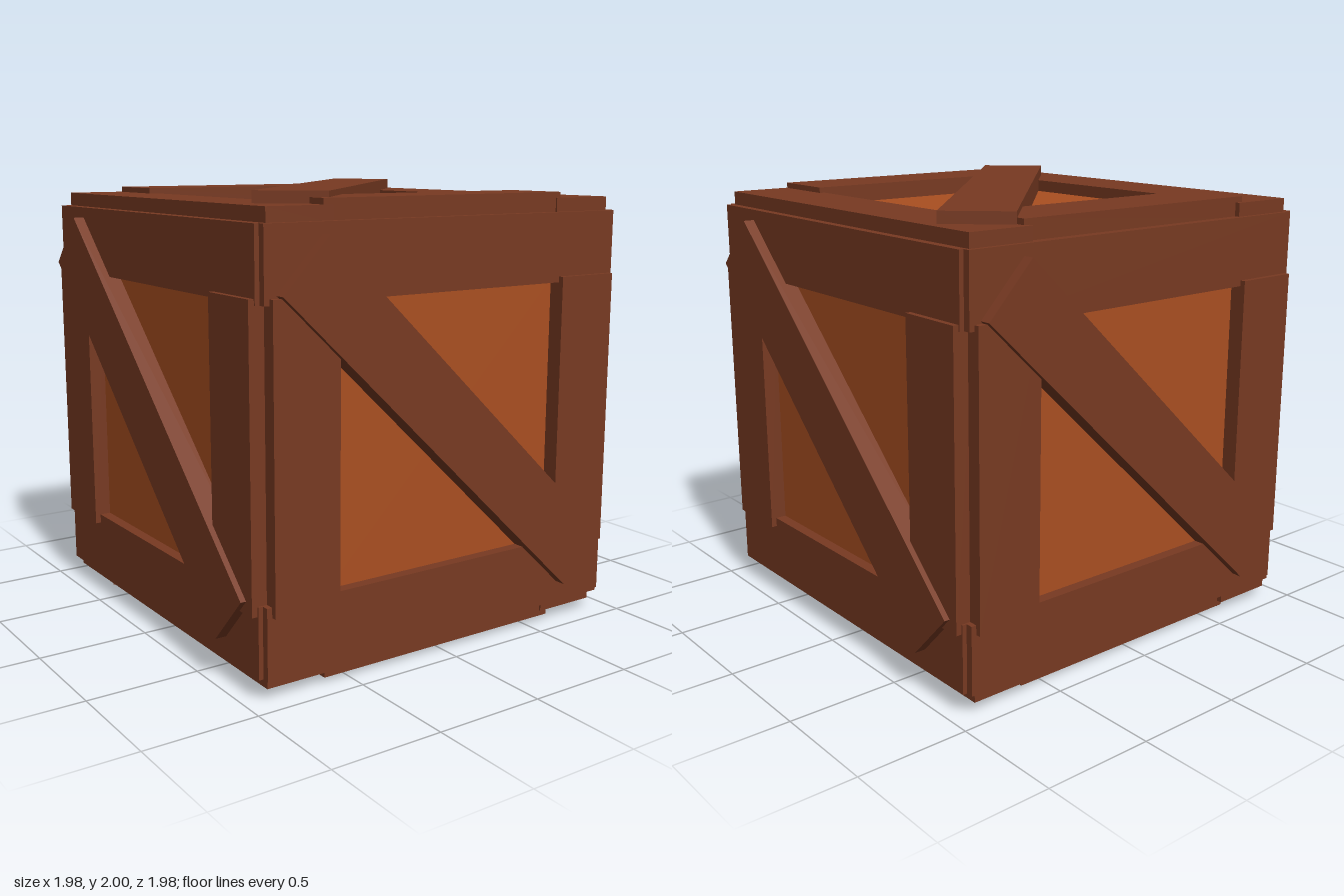
import * as THREE from 'three';

const plankMat = new THREE.MeshStandardMaterial({ color: 0x783a22 });
plankMat.name = 'dark wood';
const panelMat = new THREE.MeshStandardMaterial({ color: 0xaa4f21 });
panelMat.name = 'orange wood';

const INNER = 0.87; // depth where planks start, just inside the panel

// plank lying on a face: centre (u, v), size, height of its outer surface
function plank(name, u, v, w, h, out, angle = 0) {
  const mesh = new THREE.Mesh(new THREE.BoxGeometry(w, h, out - INNER), plankMat);
  mesh.name = name;
  mesh.position.set(u, v, (out + INNER) / 2);
  mesh.rotation.z = angle;
  return mesh;
}

// frame of one face, facing +z: rails, stiles on top of them, then the brace
function faceFrame(name) {
  const face = new THREE.Group();
  face.name = name;
  for (const s of [1, -1]) {
    face.add(plank('rail', -0.006, s * 0.744, 1.827, 0.305, 0.94));
    face.add(plank('stile', 0.002 + s * 0.745, -0.008, 0.307, 1.25, 0.965));
  }
  face.add(plank('diagonalBrace', -0.005, 0.025, 2.08, 0.305, 0.99, -0.756));
  return face;
}

export function createModel() {
  const crate = new THREE.Group();
  crate.name = 'crate';

  // inner box, seen as the panels
  const body = new THREE.Mesh(new THREE.BoxGeometry(1.78, 1.79, 1.78), panelMat);
  body.name = 'panels';
  body.position.y = 1;
  crate.add(body);

  // four side frames
  ['front', 'right', 'back', 'left'].forEach((side, i) => {
    const face = faceFrame(side + 'Frame');
    face.position.y = 0.993;
    face.rotation.y = i * Math.PI / 2;
    crate.add(face);
  });

  // top and bottom frames, turned so their rails run front to back
  for (const s of [1, -1]) {
    const face = faceFrame(s > 0 ? 'topFrame' : 'bottomFrame');
    face.setRotationFromMatrix(new THREE.Matrix4().makeBasis(
      new THREE.Vector3(0, 0, 1), new THREE.Vector3(s, 0, 0), new THREE.Vector3(0, s, 0)));
    face.position.set(s * 0.006, 1 + s * 0.01, 0);
    crate.add(face);
  }
  return crate;
}
